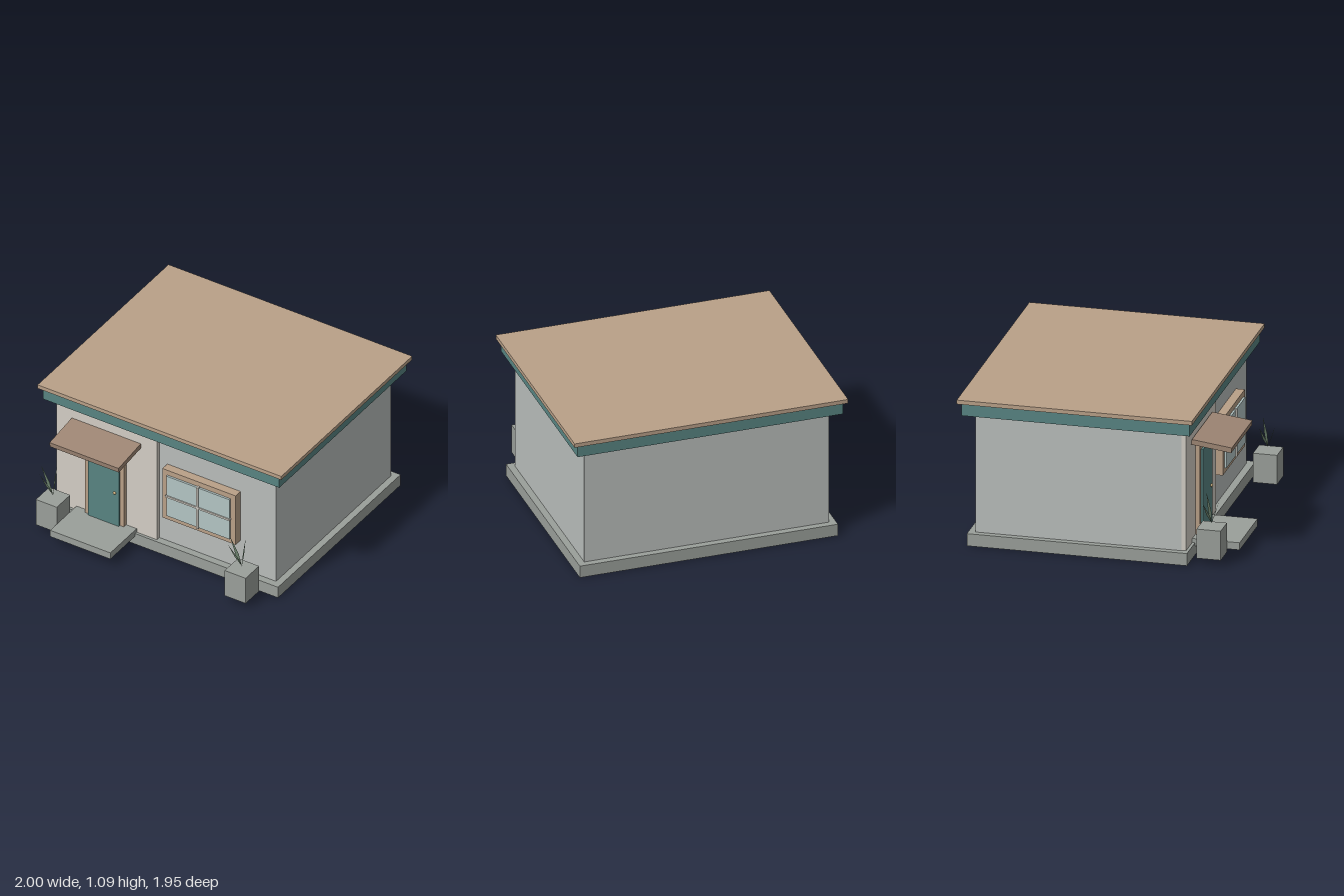
import * as THREE from 'three';

const mat = (color, extra = {}) => new THREE.MeshStandardMaterial({ color, ...extra });
const wall = mat(0xb9bdbb), cream = mat(0xd3cec5), stone = mat(0x9a9f9a), teal = mat(0x588482);
const wood = mat(0xb9a088), awningWood = mat(0x9e8674), glass = mat(0xb3c5c4), brass = mat(0xc8ad7c);
const leafGreen = mat(0x6f8570, { side: THREE.DoubleSide });

// Box given by its min and max on each axis
function box(parent, name, material, [x0, x1], [y0, y1], [z0, z1]) {
  const mesh = new THREE.Mesh(new THREE.BoxGeometry(x1 - x0, y1 - y0, z1 - z0), material);
  mesh.position.set((x0 + x1) / 2, (y0 + y1) / 2, (z0 + z1) / 2);
  mesh.name = name;
  parent.add(mesh);
  return mesh;
}

// Flat diamond-shaped leaf from the origin to its tip, spread along a width direction
function leaf(tip, width) {
  const t = new THREE.Vector3(...tip);
  const w = new THREE.Vector3(...width).setLength(0.013);
  const mid = t.clone().multiplyScalar(0.4);
  const corners = [new THREE.Vector3(), mid.clone().add(w), t, mid.clone().sub(w)];
  const geometry = new THREE.BufferGeometry().setFromPoints(corners);
  geometry.setIndex([0, 1, 2, 0, 2, 3]);
  geometry.computeVertexNormals();
  const mesh = new THREE.Mesh(geometry, leafGreen);
  mesh.name = 'leaf';
  return mesh;
}

// Square planter with three leaves
function planter(x) {
  const group = new THREE.Group();
  group.name = 'planter';
  box(group, 'planterBox', stone, [-0.086, 0.086], [0.045, 0.26], [-0.086, 0.086]);
  const plant = new THREE.Group();
  plant.name = 'plant';
  plant.position.y = 0.28;
  plant.add(
    leaf([-0.12, 0.185, -0.035], [-0.28, 0, 0.96]),
    leaf([-0.068, 0.195, 0.07], [1, 0, 0]),
    leaf([0.007, 0.222, -0.04], [0.75, 0, 0.65]),
  );
  group.add(plant);
  group.position.set(x, 0, 0.799);
  return group;
}

export function createModel() {
  const house = new THREE.Group();
  house.name = 'house';

  // Shell
  box(house, 'foundation', stone, [-0.945, 0.942], [0, 0.09], [-0.917, 0.656]);
  box(house, 'walls', wall, [-0.898, 0.893], [0.09, 0.957], [-0.868, 0.604]);
  box(house, 'entryPanel', cream, [-0.89, -0.064], [0.09, 0.94], [0.6, 0.636]);
  box(house, 'fascia', teal, [-0.971, 0.969], [0.967, 1.06], [-0.948, 0.682]);
  box(house, 'roof', wood, [-1, 1], [1.06, 1.09], [-0.975, 0.705]);

  // Entrance
  const entrance = new THREE.Group();
  entrance.name = 'entrance';
  house.add(entrance);
  box(entrance, 'doorFrame', wood, [-0.636, -0.316], [0.115, 0.784], [0.62, 0.667]);
  box(entrance, 'door', teal, [-0.6, -0.348], [0.12, 0.735], [0.65, 0.682]);
  const knob = new THREE.Mesh(new THREE.SphereGeometry(0.012, 12, 8), brass);
  knob.name = 'doorKnob';
  knob.position.set(-0.382, 0.395, 0.684);
  entrance.add(knob);
  box(entrance, 'frontStep', stone, [-0.724, -0.23], [0.067, 0.12], [0.632, 0.975]);
  const awning = box(entrance, 'awning', awningWood, [-0.759, -0.193], [0.808, 0.846], [0.639, 0.927]);
  awning.rotation.x = 0.127;

  // Window
  const frontWindow = new THREE.Group();
  frontWindow.name = 'window';
  house.add(frontWindow);
  box(frontWindow, 'windowFrame', wood, [0, 0.602], [0.326, 0.744], [0.6, 0.667]);
  box(frontWindow, 'windowPane', glass, [0.042, 0.56], [0.366, 0.704], [0.65, 0.682]);
  box(frontWindow, 'verticalBar', cream, [0.294, 0.308], [0.36, 0.71], [0.665, 0.692]);
  box(frontWindow, 'horizontalBar', cream, [0.037, 0.565], [0.528, 0.542], [0.665, 0.691]);

  // Planters either side of the front
  house.add(planter(-0.813), planter(0.737));

  return house;
}
